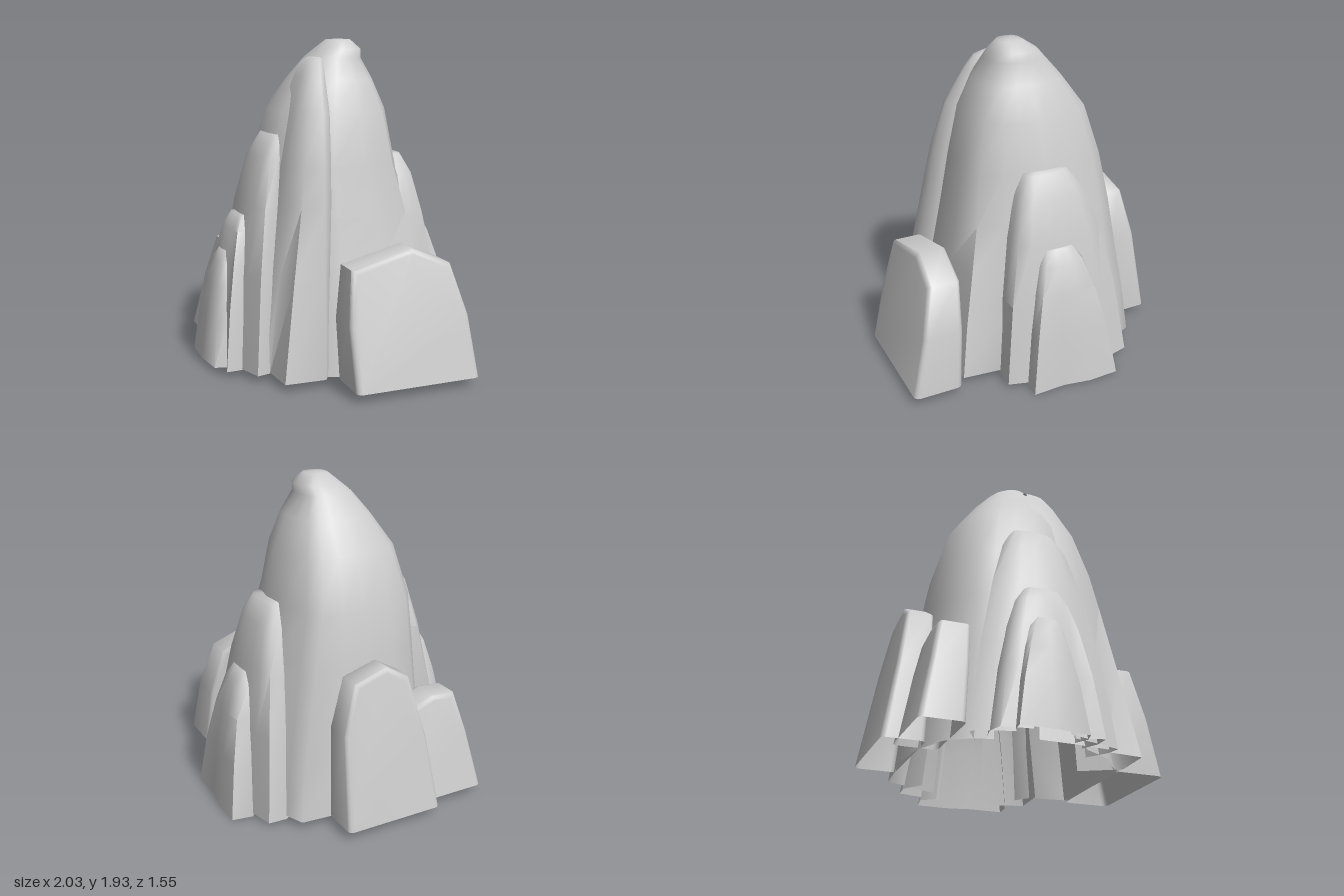
import * as THREE from 'three';
import { toCreasedNormals } from 'three/addons/utils/BufferGeometryUtils.js';

const stone = new THREE.MeshStandardMaterial({ color: 0xcccccc, side: THREE.DoubleSide });

function addMesh(group, name, geometry) {
  const mesh = new THREE.Mesh(toCreasedNormals(geometry, 1.1), stone);
  mesh.name = name;
  group.add(mesh);
}

// Shrinks a ground outline toward an anchor, level by level, softens its teeth
// on the way up and caps the top. Each level is [height, scale, shift x, shift z].
// A third number on an outline point leaves its span open below that height.
function loft(outline, [ax, az], levels, closed) {
  const n = outline.length, position = [], index = [];
  for (const [y, s, dx = 0, dz = 0] of levels) {
    const soften = Math.min(0.5, 1 - s);
    outline.forEach((p, i) => {
      const before = outline[closed ? (i + n - 1) % n : Math.max(i - 1, 0)];
      const after = outline[closed ? (i + 1) % n : Math.min(i + 1, n - 1)];
      const x = THREE.MathUtils.lerp(p[0], (before[0] + after[0]) / 2, soften);
      const z = THREE.MathUtils.lerp(p[1], (before[1] + after[1]) / 2, soften);
      position.push(ax + (x - ax) * s + dx, y, az + (z - az) * s + dz);
    });
  }
  const [topY, , tx = 0, tz = 0] = levels[levels.length - 1];
  position.push(ax + tx, topY + 0.005, az + tz);
  const tip = levels.length * n;
  const spans = closed ? n : n - 1;
  for (let l = 0; l < levels.length; l++) {
    for (let i = 0; i < spans; i++) {
      if (levels[l][0] < (outline[i][2] ?? 0)) continue;
      const a = l * n + i, b = l * n + (i + 1) % n;
      if (l < levels.length - 1) index.push(a, b, b + n, a, b + n, a + n);
      else index.push(a, b, tip);
    }
  }
  const geometry = new THREE.BufferGeometry();
  geometry.setAttribute('position', new THREE.Float32BufferAttribute(position, 3));
  geometry.setIndex(index);
  return geometry;
}

// Buttress: an open outline on a shared rounded profile from base to top.
function buttress(outline, anchor, base, top) {
  const profile = [[0, 1], [0.4, 0.86], [0.7, 0.69], [0.9, 0.52], [1, 0.34]];
  return loft(outline, anchor, profile.map(([t, s]) => [base + (top - base) * t, s]), false);
}

// Upright slab: a bevelled outline, turned to run along (ux, uz), with inner and
// outer faces leaning inward between the base and the top, open underneath.
function slab(profile, [ux, uz], inner, outer) {
  const bevel = 0.03, depth = 0.2, base = 0.05;
  const shape = new THREE.Shape(profile.map(([u, y]) => new THREE.Vector2(u, y)));
  const geometry = new THREE.ExtrudeGeometry(shape, {
    depth, bevelThickness: bevel, bevelSize: bevel, bevelOffset: -bevel, bevelSegments: 3,
  });
  const top = Math.max(...profile.map((p) => p[1]));
  const p = geometry.attributes.position;
  for (let i = 0; i < p.count; i++) {
    const u = p.getX(i);
    const y = p.getY(i) < base + bevel + 0.01 ? base : p.getY(i);
    const h = (y - base) / (top - base);
    const t = (p.getZ(i) + bevel) / (depth + 2 * bevel);
    const d = THREE.MathUtils.lerp(
      THREE.MathUtils.lerp(inner[0], inner[1], h),
      THREE.MathUtils.lerp(outer[0], outer[1], h), t);
    p.setXYZ(i, u * ux - d * uz, y, u * uz + d * ux);
  }
  const walls = [];
  for (let i = 0; i < p.count; i += 3)
    if (Math.max(p.getY(i), p.getY(i + 1), p.getY(i + 2)) > base + 0.001) walls.push(i, i + 1, i + 2);
  geometry.clearGroups();
  geometry.setIndex(walls);
  return geometry;
}

export function createModel() {
  const group = new THREE.Group();
  group.name = 'rockPeak';

  // Central peak with a flat face on the front left
  addMesh(group, 'mainPeak', loft(
    [[0, 0.6], [0.2, 0.56], [0.33, 0.5], [0.53, 0.27], [0.72, 0.03],
      [0.57, -0.14], [0.58, -0.25, 0.66], [0.45, -0.43, 0.66], [0.2, -0.62], [-0.03, -0.69],
      [-0.14, -0.73], [-0.3, -0.58], [-0.43, -0.48], [-0.6, -0.25], [-0.67, -0.05], [-0.64, 0.1],
      [-0.58, 0.2, 0.66], [-0.48, 0.33, 0.66], [-0.34, 0.47, 0.66], [-0.2, 0.56]],
    [0, 0],
    [[0.04, 1], [0.35, 0.94, -0.01], [0.65, 0.86, -0.03], [0.93, 0.79, -0.05],
      [1.22, 0.71, -0.07, 0.01], [1.52, 0.59, -0.05, 0.01], [1.7, 0.42, -0.02, 0.01],
      [1.82, 0.28, 0, 0.01], [1.87, 0.23, 0.03, 0], [1.925, 0.12, 0.04, 0.01]],
    true));

  // Long ridge down the front, ending in a shoulder below the summit
  addMesh(group, 'frontRidge', loft(
    [[-0.45, 0.4], [-0.3, 0.53], [-0.13, 0.66], [-0.09, 0.64], [0.08, 0.77],
      [0.25, 0.6], [0.23, 0.53], [0.17, 0.35]],
    [0, 0.1],
    [[0.045, 1], [0.6, 0.85, 0.01], [1, 0.73, 0.02], [1.22, 0.66, 0.02], [1.52, 0.52, 0.015],
      [1.72, 0.34, -0.01], [1.8, 0.24, -0.02], [1.825, 0.15, -0.03]],
    false));

  // Buttresses stepping down on the front right
  addMesh(group, 'frontHighButtress', buttress(
    [[-0.6, 0.1], [-0.75, 0.15], [-0.71, 0.25], [-0.64, 0.36, 0.2], [-0.53, 0.48, 0.2],
      [-0.4, 0.58], [-0.27, 0.65], [-0.13, 0.71], [-0.09, 0.64], [-0.07, 0.5]],
    [-0.2, 0.22], 0.04, 1.385));
  addMesh(group, 'frontMiddleButtress', buttress(
    [[-0.65, 0.2], [-0.72, 0.25], [-0.76, 0.33], [-0.71, 0.39], [-0.65, 0.46, 0.2], [-0.57, 0.54, 0.2],
      [-0.48, 0.59], [-0.38, 0.64], [-0.33, 0.72], [-0.27, 0.65], [-0.24, 0.55]],
    [-0.38, 0.38], 0.035, 0.915));
  addMesh(group, 'frontLowButtress', buttress(
    [[-0.66, 0.37], [-0.71, 0.39], [-0.75, 0.43], [-0.6, 0.57], [-0.44, 0.68], [-0.38, 0.64], [-0.36, 0.56]],
    [-0.46, 0.44], 0.03, 0.7));

  // Buttresses stepping down on the back left
  addMesh(group, 'backHighButtress', buttress(
    [[0.5, -0.07], [0.57, -0.14], [0.66, -0.23], [0.6, -0.33], [0.5, -0.45, 0.2], [0.38, -0.56, 0.2],
      [0.28, -0.63], [0.18, -0.7], [0.05, -0.77], [-0.03, -0.69], [-0.05, -0.55]],
    [0.2, -0.22], 0.02, 1.235));
  addMesh(group, 'backLowButtress', buttress(
    [[0.54, -0.3], [0.6, -0.33], [0.67, -0.4], [0.52, -0.53], [0.42, -0.66],
      [0.28, -0.78], [0.18, -0.7], [0.2, -0.6]],
    [0.32, -0.36], 0, 0.825));

  // Loose slabs leaning against the sides
  addMesh(group, 'frontSlab', slab(
    [[-0.2, 0.05], [0.55, 0.05], [0.515, 0.4], [0.43, 0.69], [0.2, 0.79], [-0.17, 0.7], [-0.21, 0.4]],
    [0.68, -0.733], [0.59, 0.53], [0.885, 0.71]));
  addMesh(group, 'backSlab', slab(
    [[-0.275, 0.05], [0.34, 0.05], [0.28, 0.5], [0.19, 0.86], [0.05, 0.94], [-0.16, 0.88], [-0.25, 0.6]],
    [-0.67, 0.742], [0.6, 0.53], [0.84, 0.68]));
  addMesh(group, 'sideSlab', slab(
    [[0.22, 0.05], [0.71, 0.05], [0.64, 0.4], [0.57, 0.65], [0.42, 0.66], [0.28, 0.61]],
    [-0.67, 0.742], [0.5, 0.44], [0.75, 0.62]));

  return group;
}
